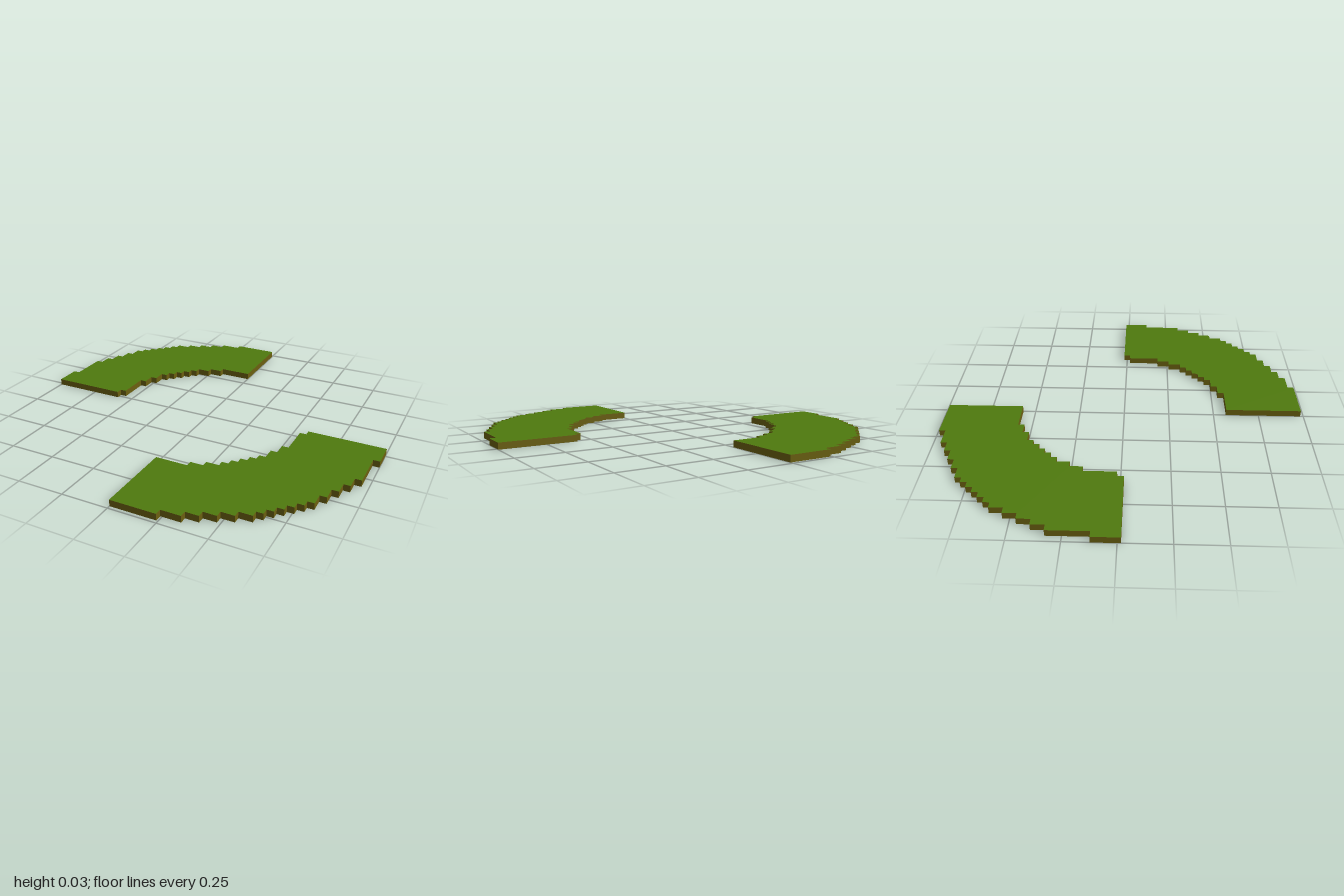
import * as THREE from 'three';

const CELL = 1 / 29; // edge of one square block

// Per row of blocks, back to front: how far the arc reaches out and where its hollow ends
const OUTER = [7, 10, 12, 14, 16, 18, 19, 20, 21, 22, 23, 24, 24, 25, 25, 26, 26, 27, 27,
  28, 28, 28, 28, 28, 28, 29, 29, 29, 29];
const INNER = [0, 0, 0, 0, 0, 0, 0, 0, 0, 0, 0, 0, 5, 7, 9, 10, 11, 12, 13,
  14, 14, 15, 15, 16, 16, 16, 16, 16, 17];

// Stepped outline of one quarter arc, drawn with shape y = -z
function arcShape() {
  const points = [];
  const add = (column, row) => {
    const p = new THREE.Vector2(-column * CELL, (28.5 - row) * CELL);
    const n = points.length;
    if (n && points[n - 1].equals(p)) return;
    // drop the middle point of a straight run
    if (n > 1 && points[n - 1].x === p.x && points[n - 2].x === p.x) points.pop();
    points.push(p);
  };
  OUTER.forEach((column, row) => { add(column, row); add(column, row + 1); });
  for (let row = INNER.length - 1; row >= 0; row--) {
    add(INNER[row], row + 1);
    add(INNER[row], row);
  }
  return new THREE.Shape(points);
}

export function createModel() {
  const grass = new THREE.MeshStandardMaterial({ color: 0x4f7a0e });
  grass.name = 'grass green';
  const earth = new THREE.MeshStandardMaterial({ color: 0x6b6011 });
  earth.name = 'earth olive';

  const shape = arcShape();
  const slab = new THREE.ExtrudeGeometry(shape, { depth: CELL, bevelEnabled: false });
  slab.rotateX(-Math.PI / 2);

  // Caps share one group: give the upward faces the grass, the rest the earth
  const normals = slab.attributes.normal;
  const count = normals.count;
  slab.clearGroups();
  let start = 0;
  for (let i = 3; i <= count; i += 3) {
    const up = normals.getY(start) > 0.5;
    if (i === count || (normals.getY(i) > 0.5) !== up) {
      slab.addGroup(start, i - start, up ? 0 : 1);
      start = i;
    }
  }

  // Two arcs, each the half turn of the other
  const model = new THREE.Group();
  model.name = 'steppedArcs';
  ['backRightArc', 'frontLeftArc'].forEach((name, i) => {
    const arc = new THREE.Mesh(slab, [grass, earth]);
    arc.name = name;
    arc.rotation.y = i * Math.PI;
    model.add(arc);
  });
  return model;
}
